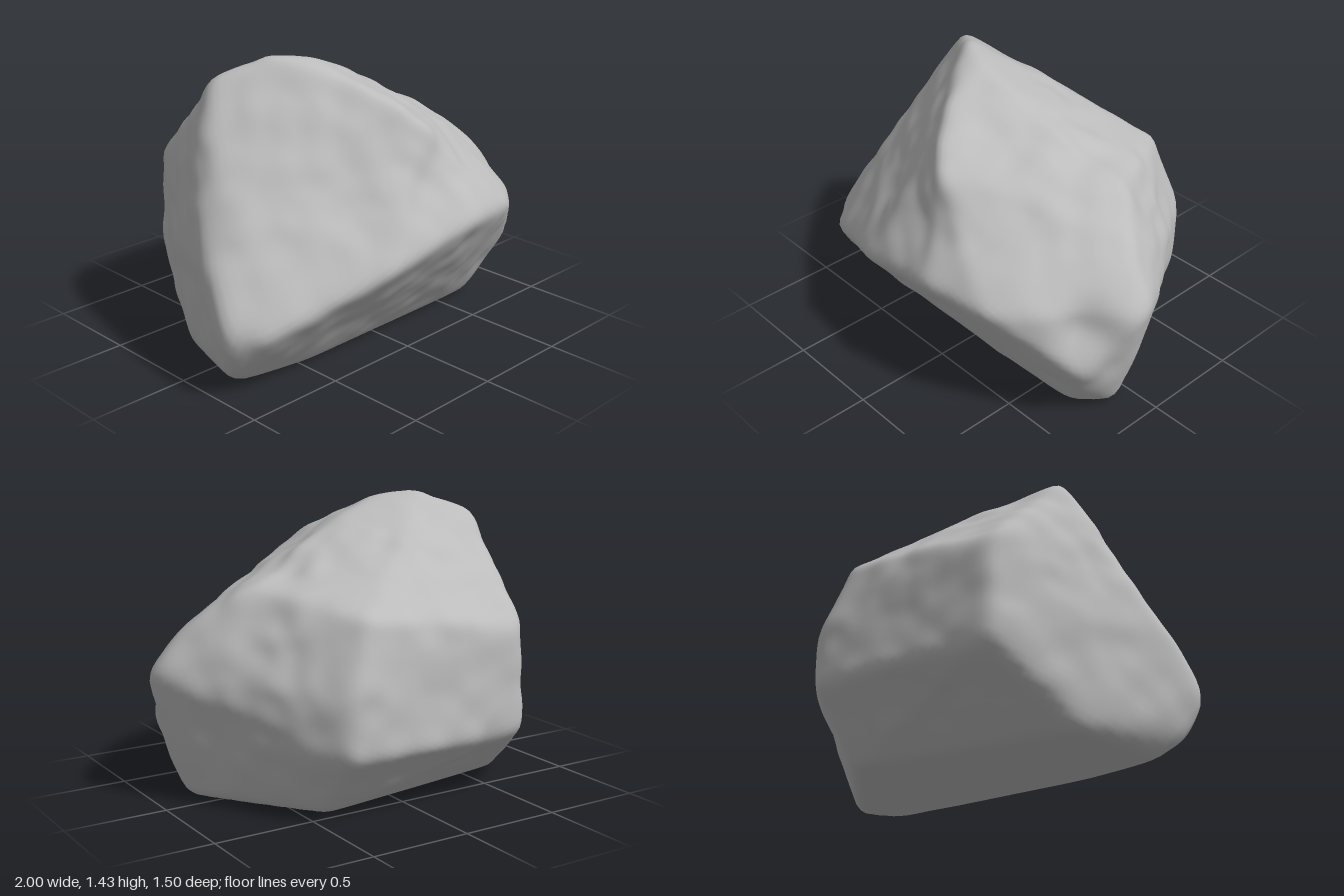
import * as THREE from 'three';
import { mergeVertices } from 'three/addons/utils/BufferGeometryUtils.js';
import { ConvexGeometry } from 'three/addons/geometries/ConvexGeometry.js';

const CENTRE = new THREE.Vector3(0, 0.65, 0);

// Main corners of the boulder, ring by ring
const CORNERS = [
  // flat base
  [-0.84, 0, 0.2], [-0.45, 0, 0.27], [0.7, 0, 0.27], [0.84, 0, 0.12], [0.42, 0, -0.46], [-0.72, 0, -0.3],
  // overhanging front edge
  [-0.95, 0.09, 0.28], [-1.02, 0.27, 0.32], [-1.02, 0.37, 0.34], [-0.86, 0.34, 0.5], [-0.6, 0.45, 0.59],
  [-0.32, 0.55, 0.7], [0.2, 0.67, 0.76], [0.52, 0.65, 0.69], [0.74, 0.66, 0.5], [0.86, 0.36, 0.42],
  // right point and right flank
  [1.03, 0.64, 0.12], [0.82, 0.88, 0.06], [0.75, 0.6, -0.24], [0.65, 0.45, -0.45],
  // left flank
  [-0.94, 0.62, 0.1], [-0.8, 0.93, -0.12], [-0.77, 0.5, -0.33], [-0.79, 0.08, -0.2],
  // back wall
  [-0.53, 0.33, -0.75], [0.43, 0.33, -0.75], [-0.53, 0.85, -0.72], [0.43, 0.6, -0.74], [0.31, 0.94, -0.68],
  // crest and upper ridges
  [-0.61, 1.35, -0.21], [-0.4, 1.45, -0.06], [-0.2, 1.41, 0.05], [-0.14, 1.32, 0.3], [0.04, 1.15, 0.53],
  [0.15, 1.26, 0.01], [0.61, 1.05, -0.13],
].map(p => new THREE.Vector3(...p));

// Worn hollows: x, y, z, radius, depth
const HOLLOWS = [
  [0.06, 0.9, 0.63, 0.2, 0.045], [-0.35, 0.88, 0.4, 0.22, 0.025], [0.4, 0.86, 0.48, 0.2, 0.025],
  [0.86, 0.55, 0.35, 0.13, 0.06], [0.43, 1.13, -0.08, 0.12, 0.03],
];

// Repeatable value noise in -1..1
function hash(x, y, z) {
  const s = Math.sin(x * 127.1 + y * 311.7 + z * 74.7) * 43758.5453;
  return (s - Math.floor(s)) * 2 - 1;
}
function noise(x, y, z) {
  const i = [x, y, z].map(Math.floor);
  const f = [x - i[0], y - i[1], z - i[2]].map(t => t * t * (3 - 2 * t));
  let sum = 0;
  for (let c = 0; c < 8; c++) {
    const b = [c & 1, (c >> 1) & 1, c >> 2];
    const w = b.reduce((acc, on, k) => acc * (on ? f[k] : 1 - f[k]), 1);
    sum += w * hash(i[0] + b[0], i[1] + b[1], i[2] + b[2]);
  }
  return sum;
}

// Face planes of the rough block, measured from the centre
function blockPlanes() {
  const pos = new ConvexGeometry(CORNERS).attributes.position;
  const planes = [];
  for (let i = 0; i < pos.count; i += 3) {
    const [a, b, c] = [0, 1, 2].map(k => new THREE.Vector3().fromBufferAttribute(pos, i + k).sub(CENTRE));
    const n = b.clone().sub(a).cross(c.sub(a));
    if (n.length() < 1e-6) continue;
    n.normalize();
    planes.push({ n, d: n.dot(a) });
  }
  return planes;
}

function boulderGeometry() {
  let geo = new THREE.IcosahedronGeometry(1, 30);
  geo.deleteAttribute('normal');
  geo.deleteAttribute('uv');
  geo = mergeVertices(geo, 1e-4);
  const pos = geo.attributes.position;
  const planes = blockPlanes();

  // Push the sphere out to the block faces
  const dirs = [], pts = [];
  for (let i = 0; i < pos.count; i++) {
    const dir = new THREE.Vector3().fromBufferAttribute(pos, i).normalize();
    let r = Infinity;
    for (const { n, d } of planes) {
      const k = n.dot(dir);
      if (k > 1e-5) r = Math.min(r, d / k);
    }
    dirs.push(dir);
    pts.push(dir.clone().multiplyScalar(r));
  }

  // Wear the edges round
  const near = pts.map(() => new Set());
  const idx = geo.index.array;
  for (let i = 0; i < idx.length; i += 3) {
    for (let k = 0; k < 3; k++) {
      near[idx[i + k]].add(idx[i + (k + 1) % 3]).add(idx[i + (k + 2) % 3]);
    }
  }
  let worn = pts;
  for (let pass = 0; pass < 3; pass++) {
    worn = worn.map((p, i) => {
      const mean = new THREE.Vector3();
      near[i].forEach(j => mean.add(worn[j]));
      return mean.divideScalar(near[i].size).lerp(p, 0.5);
    });
  }

  // Uneven stone surface, calmer at the base
  worn.forEach((p, i) => {
    p.add(CENTRE);
    const { x, y, z } = p;
    let bump = 0.008 * noise(x * 5 + 5, y * 5, z * 5) + 0.01 * noise(x * 9, y * 9 + 3, z * 9);
    bump *= THREE.MathUtils.smoothstep(y, 0, 0.2);
    for (const [hx, hy, hz, radius, depth] of HOLLOWS) {
      bump -= depth * Math.exp(-((x - hx) ** 2 + (y - hy) ** 2 + (z - hz) ** 2) / radius ** 2);
    }
    p.addScaledVector(dirs[i], bump);
    pos.setXYZ(i, p.x, p.y, p.z);
  });
  geo.computeVertexNormals();
  return geo;
}

export function createModel() {
  const stone = new THREE.MeshStandardMaterial({ color: 0xbcbcbc });
  stone.name = 'grey stone';
  const boulder = new THREE.Mesh(boulderGeometry(), stone);
  boulder.name = 'boulder';
  const group = new THREE.Group();
  group.name = 'rock';
  group.add(boulder);
  return group;
}
